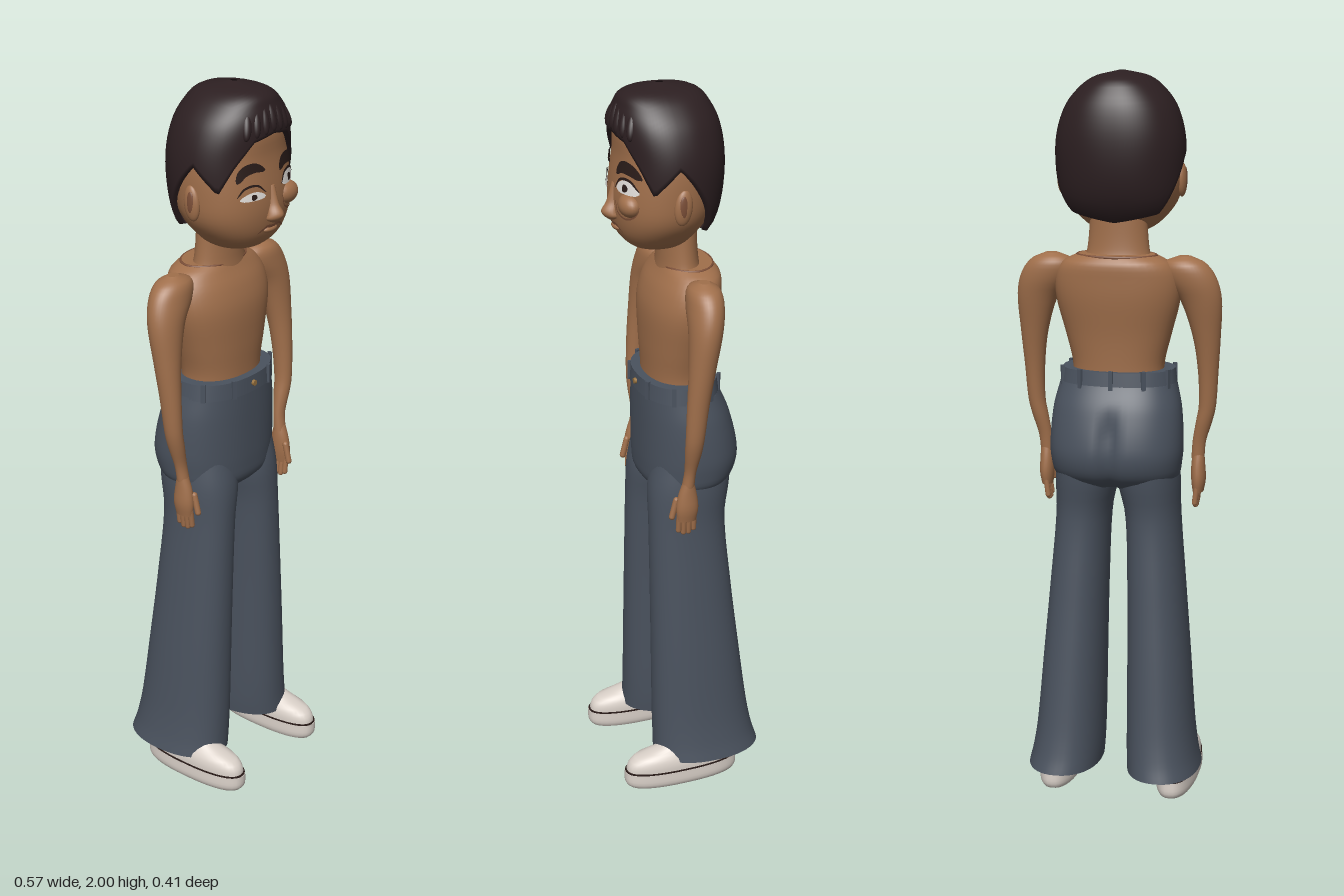
import * as THREE from 'three';

const mat = (name, color, side = THREE.FrontSide) => {
  const m = new THREE.MeshStandardMaterial({ color, side });
  m.name = name;
  return m;
};

// Smoothly interpolate rings [y, xMin, xMax, zMin, zMax] (ascending y)
function sectionAt(rings, y) {
  let i = 0;
  while (i < rings.length - 2 && y > rings[i + 1][0]) i++;
  const a = rings[i], b = rings[i + 1], h = b[0] - a[0];
  const t = THREE.MathUtils.clamp((y - a[0]) / h, 0, 1);
  const slope = (j, k) => {
    const p = rings[Math.max(j - 1, 0)], q = rings[Math.min(j + 1, rings.length - 1)];
    return (q[k] - p[k]) / (q[0] - p[0]);
  };
  return [1, 2, 3, 4].map(k => {
    const t2 = t * t, t3 = t2 * t;
    return (2 * t3 - 3 * t2 + 1) * a[k] + (t3 - 2 * t2 + t) * h * slope(i, k)
      + (3 * t2 - 2 * t3) * b[k] + (t3 - t2) * h * slope(i + 1, k);
  });
}

// Point on a superellipse section
function sectionPoint([x0, x1, z0, z1], ang, p) {
  const f = v => Math.sign(v) * Math.abs(v) ** (2 / p);
  return [(x0 + x1) / 2 + (x1 - x0) / 2 * f(Math.cos(ang)), (z0 + z1) / 2 + (z1 - z0) / 2 * f(Math.sin(ang))];
}

function gridGeometry(pos, rows, n, extra = []) {
  const idx = [...extra];
  for (let r = 0; r < rows; r++) for (let c = 0; c < n; c++) {
    const a = r * n + c, b = r * n + (c + 1) % n;
    idx.push(a, a + n, b, b, a + n, b + n);
  }
  const g = new THREE.BufferGeometry();
  g.setAttribute('position', new THREE.Float32BufferAttribute(pos, 3));
  g.setIndex(idx);
  g.computeVertexNormals();
  return g;
}

// Closed or open body through horizontal sections
function loft(rings, { p = 2, rows = 28, n = 40, cap = true, warp = null } = {}) {
  const pos = [], extra = [], y0 = rings[0][0], y1 = rings[rings.length - 1][0];
  const addRing = y => {
    const s = sectionAt(rings, y);
    for (let c = 0; c < n; c++) {
      const [x, z] = sectionPoint(s, c / n * Math.PI * 2, p);
      pos.push(x, y, warp ? warp(x, y, z) : z);
    }
    return s;
  };
  for (let r = 0; r <= rows; r++) addRing(y0 + (y1 - y0) * (0.5 - 0.5 * Math.cos(Math.PI * r / rows)));
  if (cap) for (const [y, up] of [[y0, false], [y1, true]]) {
    const start = pos.length / 3, s = addRing(y), mid = start + n;
    pos.push((s[0] + s[1]) / 2, y, (s[2] + s[3]) / 2);
    for (let c = 0; c < n; c++) {
      const a = start + c, b = start + (c + 1) % n;
      extra.push(...(up ? [mid, b, a] : [mid, a, b]));
    }
  }
  return gridGeometry(pos, rows, n, extra);
}

const sym = rows => rows.map(([y, x, z0, z1]) => [y, -x, x, z0, z1]);

const HEAD = sym([[1.567, 0.03, 0.02, 0.085], [1.58, 0.075, -0.02, 0.118], [1.61, 0.115, -0.05, 0.148], [1.66, 0.152, -0.085, 0.163],
  [1.72, 0.164, -0.108, 0.165], [1.82, 0.163, -0.115, 0.152], [1.9, 0.138, -0.1, 0.145], [1.97, 0.05, -0.03, 0.09]]);
const HAIR = sym([[1.6, 0.135, -0.065, 0.15], [1.65, 0.162, -0.1, 0.16], [1.72, 0.173, -0.12, 0.164], [1.82, 0.174, -0.126, 0.163],
  [1.9, 0.153, -0.115, 0.164], [1.95, 0.118, -0.092, 0.153], [1.985, 0.07, -0.055, 0.125], [2, 0.008, 0.025, 0.045]]);
const FACE_P = 2.2;

function faceZ(x, y) {
  const [x0, x1, z0, z1] = sectionAt(HEAD, y);
  const u = Math.min(Math.abs(x) / ((x1 - x0) / 2), 1);
  return (z0 + z1) / 2 + (z1 - z0) / 2 * (1 - u ** FACE_P) ** (1 / FACE_P);
}

// Thin painted strip following the face
function faceStrip(points, width, lift, pointed = true) {
  const curve = new THREE.CatmullRomCurve3(points.map(([x, y]) => new THREE.Vector3(x, y, 0)));
  const pos = [], idx = [], N = 16, M = 4;
  for (let i = 0; i <= N; i++) {
    const t = i / N, c = curve.getPoint(t), d = curve.getTangent(t);
    const w = width * (pointed ? Math.sqrt(Math.max(Math.sin(Math.PI * t), 0.01)) : 1);
    for (let j = 0; j <= M; j++) {
      const k = (j / M - 0.5) * w, x = c.x - d.y * k, y = c.y + d.x * k;
      pos.push(x, y, faceZ(x, y) + lift);
      if (i < N && j < M) {
        const a = i * (M + 1) + j, b = a + M + 1;
        idx.push(a, b, a + 1, a + 1, b, b + 1);
      }
    }
  }
  const g = new THREE.BufferGeometry();
  g.setAttribute('position', new THREE.Float32BufferAttribute(pos, 3));
  g.setIndex(idx);
  g.computeVertexNormals();
  return g;
}

// Hair shell whose lower edge follows the hairline
function hairGeometry() {
  const line = [[0, 1.885], [0.4, 1.872], [0.7, 1.815], [1.0, 1.745], [1.45, 1.815], [1.9, 1.72], [2.3, 1.63], [3.15, 1.605]];
  const n = 96, rows = 24, pos = [];
  for (let r = -1; r <= rows; r++) for (let c = 0; c < n; c++) {
    const ang = c / n * Math.PI * 2;
    const off = Math.acos(THREE.MathUtils.clamp(Math.sin(ang), -1, 1));
    let i = 0;
    while (off > line[i + 1][0]) i++;
    const low = THREE.MathUtils.mapLinear(off, line[i][0], line[i + 1][0], line[i][1], line[i + 1][1]);
    const y = low + (2 - low) * Math.sin(Math.max(r, 0) / rows * Math.PI / 2);
    let [x, z] = sectionPoint(sectionAt(HAIR, y), ang, FACE_P);
    if (r < 0) { x *= 0.88; z = 0.02 + (z - 0.02) * 0.88; }
    pos.push(x, y, z);
  }
  return gridGeometry(pos, rows + 1, n);
}

export function createModel() {
  const skin = mat('skin', 0xa06f4b), hair = mat('hair', 0x2c1f21, THREE.DoubleSide);
  const denim = mat('trouser cloth', 0x4a525e, THREE.DoubleSide), shoe = mat('shoe', 0xd9d0c8);
  const white = mat('eye white', 0xeeeae6, THREE.DoubleSide), dark = mat('dark line', 0x2a1c19, THREE.DoubleSide);
  const lip = mat('lip', 0x7c4f38, THREE.DoubleSide), brass = mat('button', 0x9a7440);
  const model = new THREE.Group();
  const add = (name, geo, m, parent = model) => {
    const mesh = new THREE.Mesh(geo, m);
    mesh.name = name;
    parent.add(mesh);
    return mesh;
  };
  const ball = (name, m, p, s, parent) => {
    const b = add(name, new THREE.SphereGeometry(1, 24, 16), m, parent);
    b.position.set(...p);
    b.scale.set(...s);
    return b;
  };

  // Head, neck and hair
  add('head', loft(HEAD, { p: FACE_P, rows: 36, n: 56 }), skin);
  add('neck', loft(sym([[1.48, 0.1, -0.08, 0.045], [1.53, 0.085, -0.065, 0.04], [1.64, 0.076, -0.06, 0.04]])), skin);
  add('hair', hairGeometry(), hair);
  for (let i = -3; i <= 3; i++) {
    const lock = ball('fringeLock', hair, [i * 0.026, 1.925 - Math.abs(i) * 0.004, 0.152 - i * i * 0.0018], [0.013, 0.038, 0.014]);
    lock.rotation.set(-0.3, 0, i * 0.12);
  }

  // Face
  const nose = loft(sym([[1.652, 0.008, 0.15, 0.175], [1.662, 0.026, 0.14, 0.188], [1.676, 0.024, 0.14, 0.195],
    [1.7, 0.016, 0.14, 0.181], [1.75, 0.01, 0.14, 0.166]]), { p: 1.7, n: 24 });
  add('nose', nose, skin);
  for (const s of [-1, 1]) {
    const ear = ball('ear', skin, [s * 0.164, 1.715, 0.03], [0.014, 0.047, 0.024]);
    ear.rotation.x = -0.1;
    ball('earHollow', lip, [s * 0.1735, 1.718, 0.032], [0.005, 0.03, 0.012]);
  }
  add('rightBrow', faceStrip([[-0.113, 1.772], [-0.095, 1.798], [-0.065, 1.806], [-0.03, 1.795]], 0.026, 0.006), dark);
  add('leftBrow', faceStrip([[0.028, 1.782], [0.05, 1.803], [0.085, 1.803], [0.122, 1.785]], 0.032, 0.006), dark);
  add('rightEye', faceStrip([[-0.108, 1.728], [-0.07, 1.734], [-0.035, 1.73]], 0.022, 0.004), white);
  add('rightLid', faceStrip([[-0.115, 1.735], [-0.095, 1.757], [-0.06, 1.76], [-0.032, 1.738]], 0.006, 0.005), dark);
  add('rightPupil', faceStrip([[-0.08, 1.732], [-0.064, 1.733]], 0.015, 0.006), dark);
  add('leftEye', faceStrip([[0.035, 1.748], [0.075, 1.756], [0.118, 1.748]], 0.036, 0.004), white);
  add('leftLid', faceStrip([[0.03, 1.745], [0.05, 1.772], [0.09, 1.775], [0.12, 1.752]], 0.007, 0.006), dark);
  add('leftPupil', faceStrip([[0.066, 1.754], [0.086, 1.754]], 0.02, 0.007), dark);
  ball('leftEyeBag', skin, [0.077, 1.709, 0.143], [0.042, 0.031, 0.03]);
  add('leftEyeBagLine', faceStrip([[0.035, 1.715], [0.045, 1.685], [0.077, 1.673], [0.108, 1.687], [0.12, 1.715]], 0.005, 0.004), lip);
  add('mouth', faceStrip([[-0.052, 1.628], [-0.025, 1.644], [0, 1.641], [0.025, 1.644], [0.052, 1.628]], 0.008, 0.004), lip);
  ball('lowerLip', skin, [0, 1.632, 0.152], [0.028, 0.01, 0.014]);

  // Torso
  add('torso', loft(sym([[1.16, 0.128, -0.095, 0.08], [1.22, 0.126, -0.095, 0.08], [1.3, 0.145, -0.1, 0.083], [1.4, 0.17, -0.113, 0.082],
    [1.46, 0.168, -0.116, 0.066], [1.5, 0.145, -0.115, 0.045], [1.52, 0.105, -0.1, 0.035]]), { p: 2.2 }), skin);
  const neckline = add('neckline', new THREE.TorusGeometry(1, 0.04, 8, 40), lip);
  neckline.rotation.x = Math.PI / 2;
  neckline.scale.set(0.107, 0.07, 0.1);
  neckline.position.set(0, 1.517, -0.033);

  // Arms and hands
  const armRings = [[0.95, 0.196, 0.232, 0.018, 0.052], [1.0, 0.2, 0.237, 0.014, 0.045], [1.06, 0.21, 0.255, 0.004, 0.049],
    [1.1, 0.217, 0.264, 0, 0.05], [1.2, 0.215, 0.271, -0.012, 0.047], [1.3, 0.201, 0.278, -0.03, 0.041], [1.4, 0.168, 0.282, -0.052, 0.035],
    [1.46, 0.125, 0.268, -0.064, 0.03], [1.5, 0.125, 0.238, -0.06, 0.02], [1.517, 0.165, 0.2, -0.035, -0.005]];
  const palmRings = [[0.855, 0.2, 0.23, 0.012, 0.064], [0.89, 0.196, 0.236, 0.006, 0.068], [0.93, 0.196, 0.234, 0.01, 0.062], [0.965, 0.2, 0.232, 0.018, 0.05]];
  for (const s of [-1, 1]) {
    const arm = new THREE.Group();
    arm.name = s > 0 ? 'leftArm' : 'rightArm';
    model.add(arm);
    const flip = rings => rings.map(([y, a, b, c, d]) => s > 0 ? [y, a, b, c, d] : [y, -b, -a, c, d]);
    add('armLimb', loft(flip(armRings), { rows: 40 }), skin, arm);
    add('palm', loft(flip(palmRings), { rows: 12, n: 24 }), skin, arm);
    for (let i = 0; i < 4; i++) {
      const f = add('finger', new THREE.CapsuleGeometry(0.0078, 0.05, 4, 10), skin, arm);
      f.position.set(s * 0.212, 0.842 + (i === 0 || i === 3 ? 0.008 : 0), 0.017 + i * 0.014);
      f.rotation.z = -s * 0.12;
    }
    const thumb = add('thumb', new THREE.CapsuleGeometry(0.0085, 0.05, 4, 10), skin, arm);
    thumb.position.set(s * 0.204, 0.89, 0.07);
    thumb.rotation.x = -0.25;
  }

  // Trousers: seat, waistband and flared legs
  const cleft = (x, y, z) => z < 0 ? z + 0.02 * Math.exp(-((x / 0.022) ** 2)) * THREE.MathUtils.smoothstep(1.13 - y, 0, 0.1) : z;
  add('trouserSeat', loft(sym([[0.885, 0.13, -0.1, 0.075], [0.91, 0.168, -0.14, 0.097], [0.95, 0.179, -0.163, 0.102], [1.0, 0.183, -0.167, 0.103],
    [1.1, 0.176, -0.143, 0.103], [1.17, 0.16, -0.113, 0.102]]), { p: 2.3, n: 72, warp: cleft }), denim);
  add('waistband', loft(sym([[1.163, 0.161, -0.114, 0.106], [1.208, 0.154, -0.108, 0.103]]), { p: 2.3, rows: 4, n: 56 }), denim);
  for (const deg of [25, 65, 115, 155, 205, 240, 270, 300, 335]) {
    const a = THREE.MathUtils.degToRad(deg), [x, z] = sectionPoint([-0.159, 0.159, -0.113, 0.106], a, 2.3);
    const tab = add('beltLoop', new THREE.BoxGeometry(0.012, 0.052, 0.009), denim);
    tab.position.set(x, 1.187, z);
    tab.rotation.y = Math.PI / 2 - a;
  }
  const button = add('button', new THREE.CylinderGeometry(0.008, 0.008, 0.008, 16), brass);
  button.rotation.x = Math.PI / 2;
  button.position.set(0, 1.186, 0.107);
  const legRings = [[0.075, 0.04, 0.243, -0.203, 0.106], [0.12, 0.037, 0.233, -0.19, 0.105], [0.2, 0.035, 0.222, -0.175, 0.105],
    [0.4, 0.033, 0.206, -0.15, 0.104], [0.6, 0.03, 0.189, -0.128, 0.103], [0.8, 0.022, 0.173, -0.113, 0.102],
    [0.9, 0.002, 0.172, -0.128, 0.1], [0.98, 0.005, 0.165, -0.135, 0.085]];

  // Shoes with a pale sole, dark seam and rounded upper
  const soleRings = [[0, 0.12, 0.218, -0.122, 0.195], [0.012, 0.114, 0.225, -0.13, 0.205], [0.047, 0.114, 0.225, -0.13, 0.206]];
  const upperRings = [[0.046, 0.117, 0.222, -0.126, 0.201], [0.07, 0.118, 0.221, -0.125, 0.195], [0.09, 0.124, 0.215, -0.12, 0.172],
    [0.105, 0.133, 0.207, -0.115, 0.115], [0.15, 0.138, 0.202, -0.105, 0.03]];
  for (const s of [-1, 1]) {
    const side = s > 0 ? 'left' : 'right';
    const flip = rings => rings.map(([y, a, b, c, d]) => s > 0 ? [y, a, b, c, d] : [y, -b, -a, c, d]);
    add(side + 'TrouserLeg', loft(flip(legRings), { p: 2.2, cap: false, rows: 36, n: 48 }), denim);
    add(side + 'Sole', loft(flip(soleRings), { p: 2.4, rows: 8 }), shoe);
    add(side + 'ShoeSeam', loft(flip([[0.046, 0.1145, 0.2245, -0.1295, 0.2045], [0.051, 0.1145, 0.2245, -0.1295, 0.2045]]), { p: 2.4, rows: 2 }), dark);
    add(side + 'ShoeUpper', loft(flip(upperRings), { p: 2.4, rows: 16 }), shoe);
  }
  return model;
}
